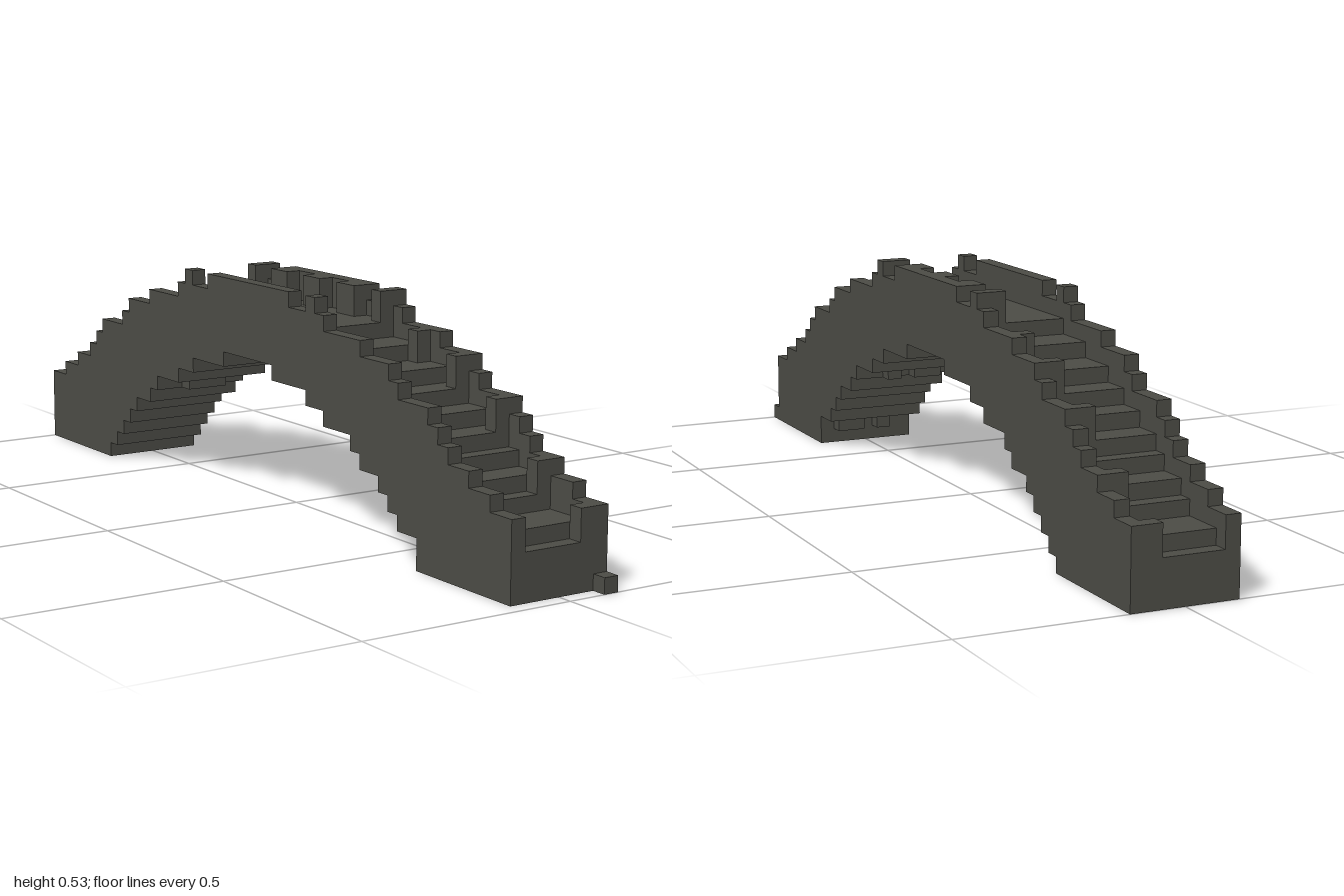
import * as THREE from 'three';

const U = 2 / 57; // one block
const END = 57;   // blocks along the bridge; block 0 is the front tip

// [first block, height] steps of the front half; the rear half mirrors them about block 29
const WALL = [[1, 5], [3, 6], [5, 7], [7, 8], [8, 9], [9, 10], [12, 11], [13, 12], [16, 13],
  [20, 14], [21, 15], [22, 14], [24, 15]];
const FLOOR = [[1, 3], [2, 4], [5, 5], [6, 6], [8, 7], [9, 8], [11, 9], [13, 10], [15, 11], [18, 12], [21, 13]];
const UNDER = [[1, 0], [10, 2], [12, 3], [13, 4], [14, 5], [16, 6], [17, 7], [20, 8], [22, 9], [26, 10]];

// height of a step list at block i
function heightAt(steps, i) {
  const m = i < 29 ? i : END - i;
  let h = steps[0][1];
  for (const [s, v] of steps) if (m >= s) h = v;
  return h;
}

// stepped corner points along the whole span
function stepLine(steps) {
  const pts = [];
  for (let i = 1; i < END; i++) {
    const h = heightAt(steps, i);
    if (i === 1 || h !== heightAt(steps, i - 1)) {
      if (i > 1) pts.push([i, heightAt(steps, i - 1)]);
      pts.push([i, h]);
    }
  }
  pts.push([END, heightAt(steps, END - 1)]);
  return pts;
}

export function createModel() {
  const group = new THREE.Group();
  const stone = new THREE.MeshStandardMaterial({ color: 0x4c4c46 });
  stone.name = 'dark stone';

  // stepped arch slab between two x block columns
  function slab(name, top, x0, x1) {
    const outline = [...stepLine(UNDER), ...stepLine(top).reverse()]
      .map(([i, y]) => new THREE.Vector2((i - END / 2) * U, y * U));
    const geo = new THREE.ExtrudeGeometry(new THREE.Shape(outline), { depth: (x1 - x0) * U, bevelEnabled: false });
    geo.rotateY(Math.PI / 2);
    geo.translate((x0 - 3.5) * U, 0, 0);
    const mesh = new THREE.Mesh(geo, stone);
    mesh.name = name;
    group.add(mesh);
  }

  // box of whole blocks
  function block(name, x0, x1, y0, y1, i0, i1) {
    const mesh = new THREE.Mesh(new THREE.BoxGeometry((x1 - x0) * U, (y1 - y0) * U, (i1 - i0) * U), stone);
    mesh.position.set(((x0 + x1) / 2 - 3.5) * U, (y0 + y1) / 2 * U, (END / 2 - (i0 + i1) / 2) * U);
    mesh.name = name;
    group.add(mesh);
  }

  slab('rightParapet', WALL, 0, 1);
  slab('steppedDeck', FLOOR, 1, 6);
  slab('leftParapet', WALL, 6, 7);

  // buttresses inside the left parapet
  const spans = [[24, 26], [28, 30], [32, 34]];
  for (let i = 1; i <= 21; i += 4) spans.push([i, i + 1], [END - i, END + 1 - i]);
  for (const [a, b] of spans) {
    block('buttress', 5, 6, heightAt(FLOOR, a), heightAt(WALL, a), a, b);
  }

  // loose block at the front foot
  block('footBlock', 6, 7, 0, 1, 0, 1);

  // worn blocks hanging under the arch
  block('hangingBlock', 4, 6, 1, 2, 10, 11);
  block('hangingBlock', 2, 3, 1, 2, 10, 11);
  block('hangingBlock', 4, 5, 6, 7, 17, 18);
  block('hangingBlock', 1, 3, 6, 7, 17, 18);
  block('hangingBlock', 2, 5, 6, 7, 40, 41);
  block('rearFootLedge', 0, 7, 1, 2, 47, 48);

  return group;
}
